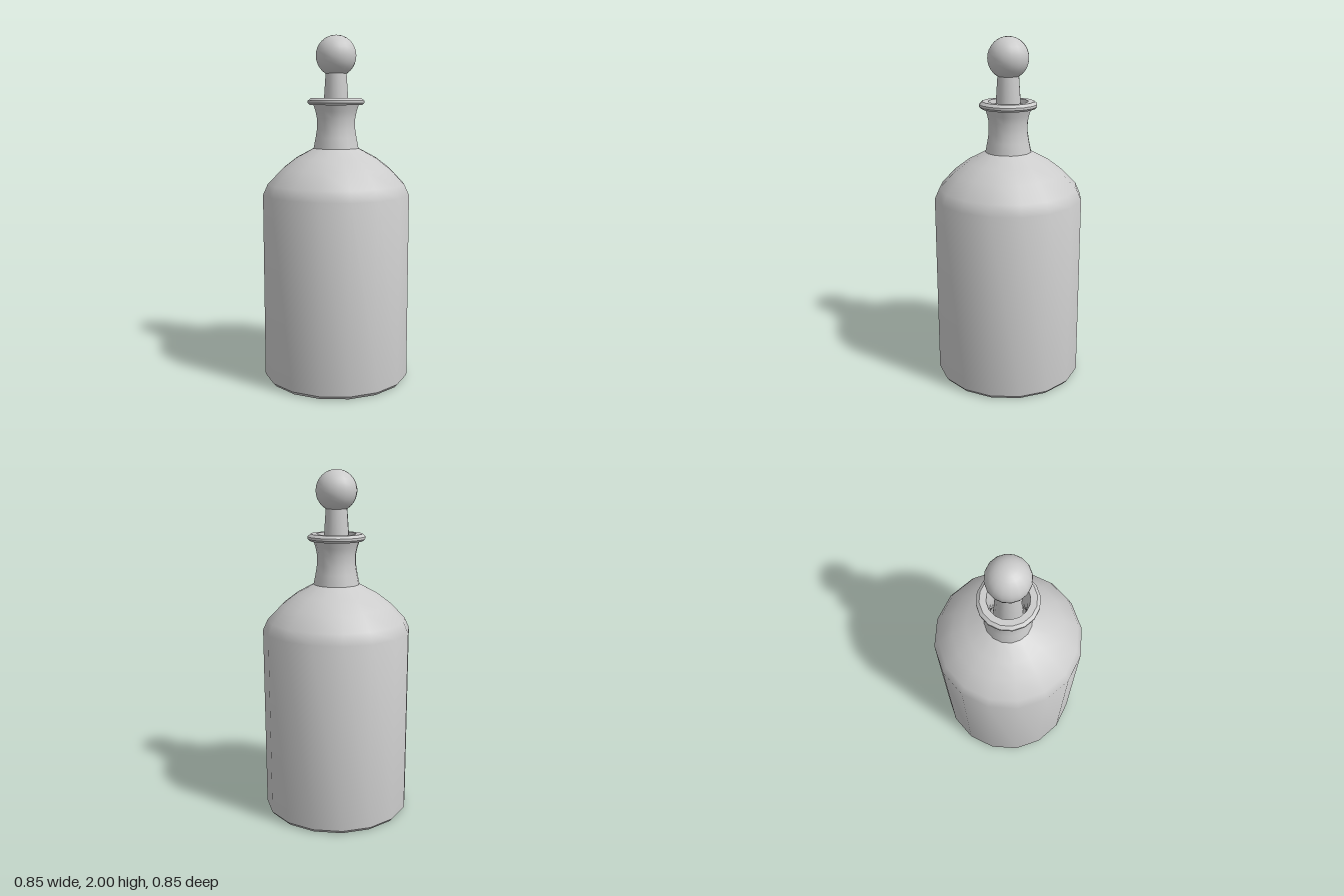
import * as THREE from 'three';
import { toCreasedNormals } from 'three/addons/utils/BufferGeometryUtils.js';

const SIDES = 16;
const TURN = -0.028; // slight twist of the sixteen-sided section

export function createModel() {
  const bottle = new THREE.Group();
  bottle.name = 'stopperedBottle';
  const glass = new THREE.MeshStandardMaterial({ color: 0xcccccc, side: THREE.DoubleSide });

  // Revolve a [radius, height] profile; sharp bends stay sharp
  function turned(name, profile, parent) {
    const points = profile.map(([r, y]) => new THREE.Vector2(r, y));
    const lathe = new THREE.LatheGeometry(points, SIDES, TURN);
    const mesh = new THREE.Mesh(toCreasedNormals(lathe, 0.61), glass);
    mesh.name = name;
    parent.add(mesh);
  }

  // Base, straight wall and rounded shoulder
  turned('body', [
    [0, 0], [0.41, 0], [0.427, 0.02], [0.427, 1.095],
    [0.4, 1.155], [0.315, 1.243], [0.235, 1.304], [0.13, 1.36],
  ], bottle);

  // Waisted neck, flared lip and hollow mouth
  turned('neck', [
    [0.133, 1.355], [0.12, 1.42], [0.112, 1.47], [0.112, 1.53], [0.12, 1.57], [0.132, 1.605],
    [0.152, 1.605], [0.165, 1.617], [0.165, 1.63], [0.148, 1.645], [0.113, 1.645],
    [0.098, 1.58], [0.093, 1.53], [0.093, 1.47], [0.1, 1.42], [0.113, 1.355],
  ], bottle);

  // Stopper: tapered plug with a ball on top
  const stopper = new THREE.Group();
  stopper.name = 'stopper';
  bottle.add(stopper);
  turned('plug', [[0, 1.42], [0.085, 1.42], [0.072, 1.62], [0.06, 1.8]], stopper);

  const ball = new THREE.Mesh(new THREE.SphereGeometry(0.117, SIDES, 16), glass);
  ball.name = 'ball';
  ball.position.y = 1.883;
  ball.rotation.y = TURN;
  stopper.add(ball);

  return bottle;
}
